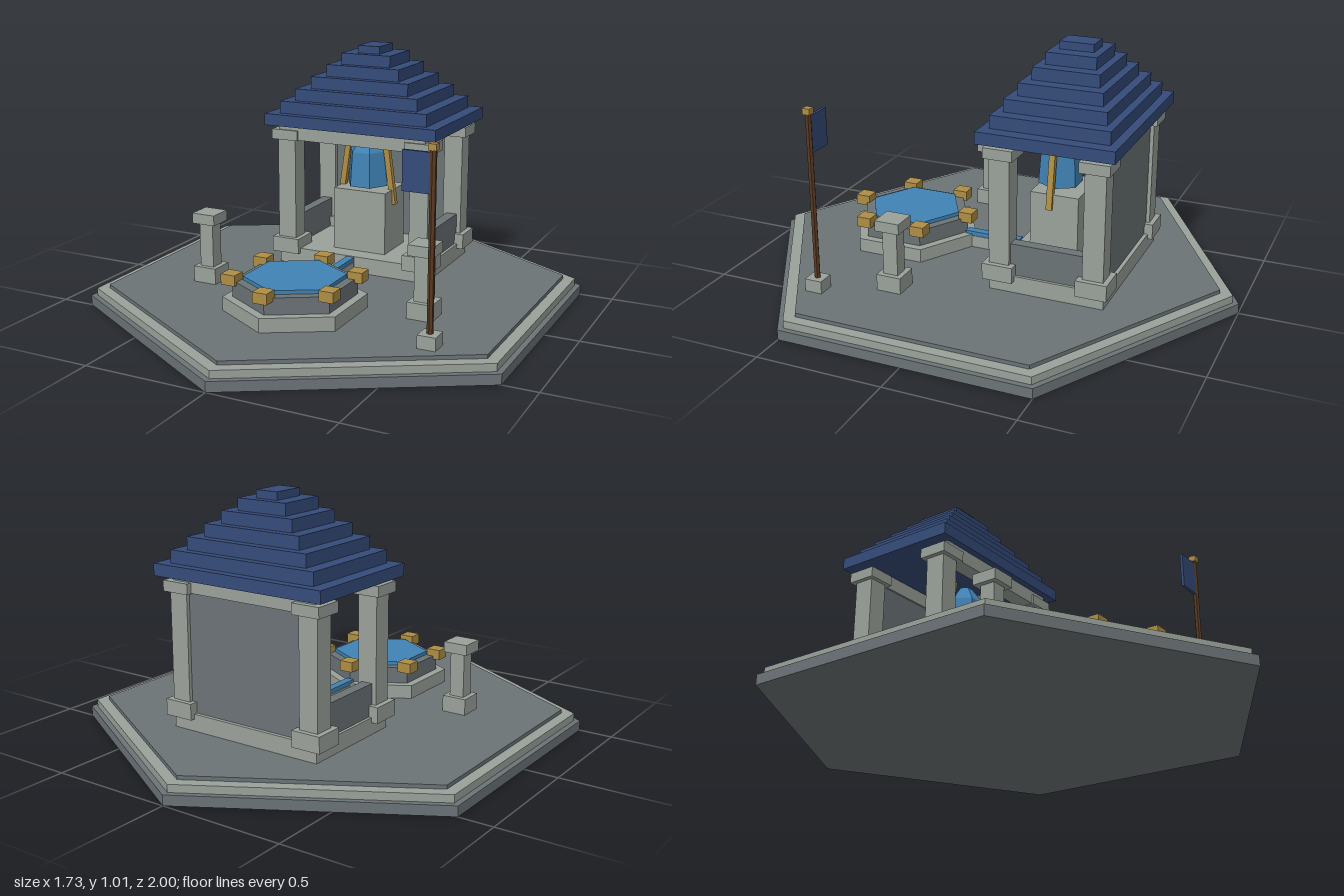
import * as THREE from 'three';

const mat = (name, color) => {
  const m = new THREE.MeshStandardMaterial({ color });
  m.name = name;
  return m;
};

export function createModel() {
  const darkStone = mat('dark stone', 0x6b7376);
  const lightStone = mat('light stone', 0x9aa19a);
  const navy = mat('navy blue', 0x354b7a);
  const water = mat('water blue', 0x4083b5);
  const gold = mat('gold', 0xae8e45);
  const wood = mat('brown wood', 0x5a3a22);

  const model = new THREE.Group();
  model.name = 'shrine';

  const group = (name) => {
    const g = new THREE.Group();
    g.name = name;
    model.add(g);
    return g;
  };
  const add = (parent, name, geometry, material, x, y, z) => {
    const m = new THREE.Mesh(geometry, material);
    m.name = name;
    m.position.set(x, y, z);
    parent.add(m);
    return m;
  };
  // Box given by its width, depth and the heights of its bottom and top
  const box = (parent, name, material, x, z, w, d, y0, y1) =>
    add(parent, name, new THREE.BoxGeometry(w, y1 - y0, d), material, x, (y0 + y1) / 2, z);
  // Six-sided prism with flat faces; corners point along z unless turned
  const hex = (parent, name, material, x, z, rBottom, rTop, y0, y1, turn = 0) => {
    const g = new THREE.CylinderGeometry(rTop, rBottom, y1 - y0, 6, 1, false, turn).toNonIndexed();
    g.computeVertexNormals();
    return add(parent, name, g, material, x, (y0 + y1) / 2, z);
  };

  // Stepped hexagonal ground slab
  const base = group('base');
  hex(base, 'lowerSlab', darkStone, 0, 0, 1, 1, 0, 0.04);
  hex(base, 'rimSlab', lightStone, 0, 0, 0.975, 0.975, 0.04, 0.07);
  hex(base, 'paving', darkStone, 0, 0, 0.925, 0.925, 0.07, 0.085);

  // Pavilion: floor, walls, columns and lintels
  const pavilion = group('pavilion');
  const cz = -0.338;
  box(pavilion, 'floor', lightStone, 0, cz, 0.665, 0.455, 0.085, 0.153);
  box(pavilion, 'backWall', darkStone, 0, -0.525, 0.56, 0.05, 0.153, 0.625);
  for (const x of [-0.298, 0.298]) {
    box(pavilion, 'sideWall', darkStone, x, cz, 0.045, 0.34, 0.153, 0.28);
    for (const z of [-0.151, -0.524]) {
      box(pavilion, 'columnBase', lightStone, x, z, 0.122, 0.122, 0.133, 0.197);
      box(pavilion, 'column', lightStone, x, z, 0.08, 0.082, 0.197, 0.62);
      box(pavilion, 'capital', lightStone, x, z, 0.118, 0.118, 0.62, 0.662);
    }
  }
  for (const z of [-0.134, -0.526])
    box(pavilion, 'lintel', lightStone, 0, z, 0.65, 0.068, 0.622, 0.685);

  // Stepped roof: half width and half depth of each tier
  const roof = group('roof');
  const tiers = [[0.38, 0.267], [0.326, 0.232], [0.272, 0.2], [0.217, 0.165],
    [0.162, 0.132], [0.109, 0.1], [0.048, 0.068]];
  const levels = [0.68, 0.728, 0.779, 0.829, 0.879, 0.928, 0.975, 1.006];
  tiers.forEach(([w, d], i) =>
    box(roof, 'roofTier', navy, 0, cz - 0.001, w * 2, d * 2, levels[i], levels[i + 1]));

  // Altar with a blue crystal bell between two leaning rods
  const altar = group('altar');
  box(altar, 'altarBlock', lightStone, 0, -0.287, 0.234, 0.197, 0.153, 0.415);
  hex(altar, 'bellBody', water, 0, -0.27, 0.088, 0.078, 0.427, 0.572, Math.PI / 6);
  hex(altar, 'bellTop', water, 0, -0.27, 0.078, 0.03, 0.572, 0.638, Math.PI / 6);
  for (const s of [-1, 1]) {
    const rod = add(altar, 'rod', new THREE.BoxGeometry(0.024, 0.292, 0.024), gold, s * 0.1, 0.498, -0.27);
    rod.rotation.z = s * 0.14;
  }

  // Hexagonal pool with a gold block on each corner
  const pool = group('pool');
  const pz = 0.37;
  hex(pool, 'poolFoot', lightStone, 0, pz, 0.275, 0.275, 0.085, 0.14);
  hex(pool, 'poolWall', darkStone, 0, pz, 0.237, 0.237, 0.14, 0.205);
  hex(pool, 'poolWater', water, 0, pz, 0.196, 0.196, 0.2, 0.22);
  for (let i = 0; i < 6; i++) {
    const a = (i * Math.PI) / 3;
    box(pool, 'cornerBlock', gold, Math.sin(a) * 0.238, pz + Math.cos(a) * 0.238, 0.06, 0.06, 0.192, 0.234);
  }

  // Narrow water channel from the pavilion to the pool
  const channel = group('channel');
  box(channel, 'channelBed', lightStone, 0, 0.01, 0.04, 0.22, 0.085, 0.134);
  box(channel, 'channelWater', water, 0, 0.015, 0.034, 0.24, 0.134, 0.152);

  // Pair of small pedestals
  for (const x of [-0.467, 0.467]) {
    const pedestal = group('pedestal');
    box(pedestal, 'pedestalBase', lightStone, x, 0.227, 0.1, 0.1, 0.085, 0.15);
    box(pedestal, 'pedestalShaft', lightStone, x, 0.227, 0.06, 0.06, 0.15, 0.33);
    box(pedestal, 'pedestalCap', lightStone, x, 0.227, 0.1, 0.1, 0.33, 0.372);
  }

  // Flagpole
  const flag = group('flagpole');
  const fx = 0.597, fz = 0.488;
  box(flag, 'poleBase', lightStone, fx, fz, 0.07, 0.07, 0.085, 0.135);
  hex(flag, 'pole', wood, fx, fz, 0.012, 0.012, 0.135, 0.79);
  box(flag, 'finial', gold, fx, fz, 0.03, 0.03, 0.788, 0.812);
  box(flag, 'flag', navy, 0.538, fz, 0.106, 0.012, 0.635, 0.78);

  return model;
}
